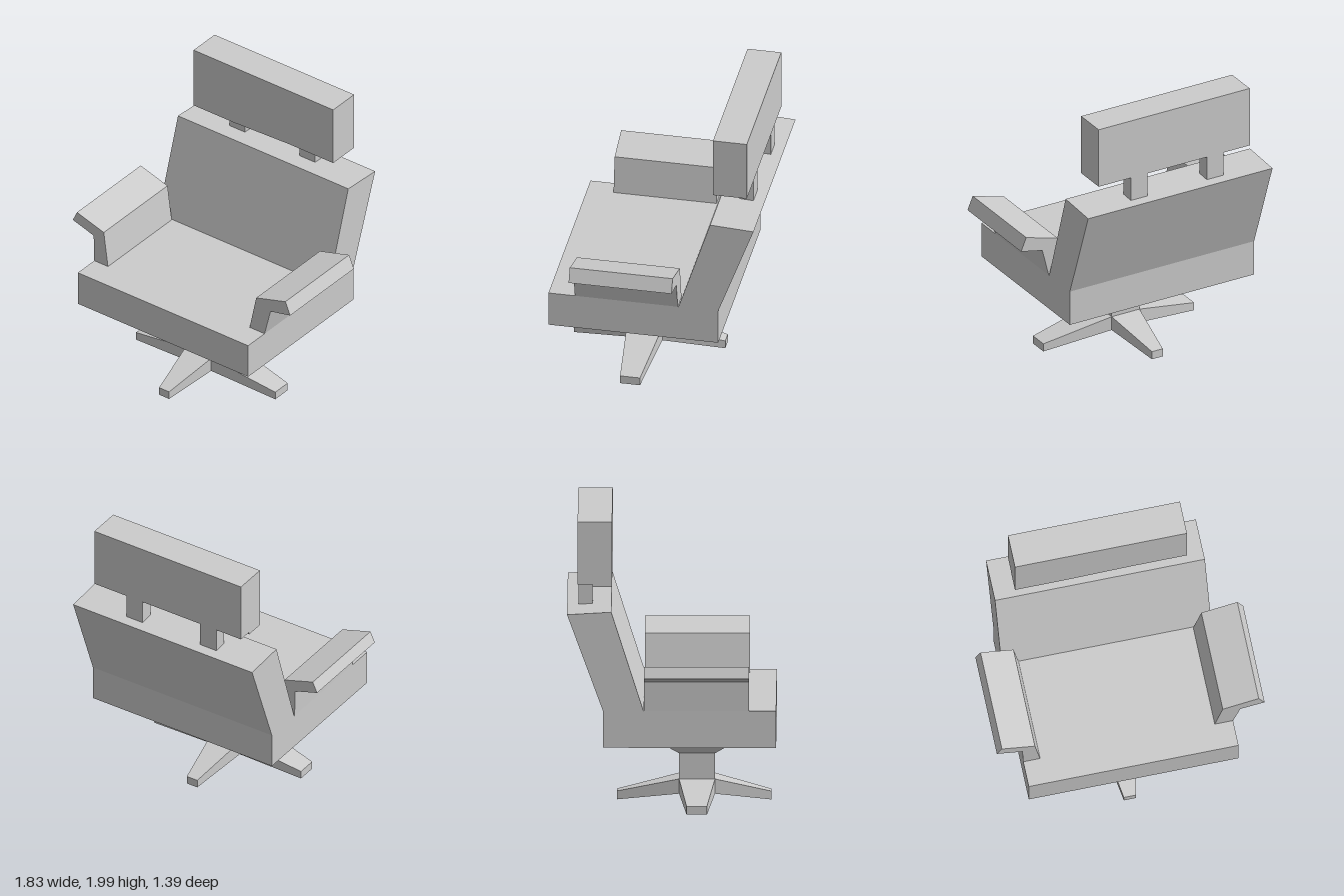
import * as THREE from 'three';

const upholstery = new THREE.MeshStandardMaterial({ color: 0xcccccc });
upholstery.name = 'lightGrey';

export function createModel() {
  const group = new THREE.Group();
  group.name = 'swivelArmchair';

  const add = (name, geometry) => {
    const mesh = new THREE.Mesh(geometry, upholstery);
    mesh.name = name;
    group.add(mesh);
    return mesh;
  };
  const block = (name, x0, x1, y0, y1, z0, z1) =>
    add(name, new THREE.BoxGeometry(x1 - x0, y1 - y0, z1 - z0)
      .translate((x0 + x1) / 2, (y0 + y1) / 2, (z0 + z1) / 2));
  const extrude = (points, depth) => new THREE.ExtrudeGeometry(
    new THREE.Shape(points.map(([a, b]) => new THREE.Vector2(a, b))),
    { depth, bevelEnabled: false });
  // A unit box whose corners are moved by a rule, kept flat-faced
  const shapedBox = (rule) => {
    const geometry = new THREE.BoxGeometry(1, 1, 1);
    const p = geometry.attributes.position;
    for (let i = 0; i < p.count; i++) {
      p.setXYZ(i, ...rule(p.getX(i) + 0.5, p.getY(i) + 0.5, p.getZ(i) + 0.5));
    }
    geometry.computeVertexNormals();
    return geometry;
  };
  const lerp = THREE.MathUtils.lerp;

  // Seat and leaning backrest
  block('seat', -0.735, 0.695, 0.49, 0.74, -0.455, 0.7);
  add('backrest', extrude([[-0.185, 0.74], [-0.4, 1.412], [-0.695, 1.395], [-0.455, 0.74]], 1.43)
    .rotateY(-Math.PI / 2).translate(0.695, 0, 0));

  // Headrest with a slightly sloping underside, on two posts
  add('headrest', extrude([[-0.6, 1.555], [-0.27, 1.555], [0.2, 1.572], [0.572, 1.572],
    [0.572, 2], [-0.6, 2]], 0.13).translate(0, 0, -0.525));
  block('headrestBack', -0.6, 0.572, 1.572, 2, -0.625, -0.525);
  for (const x of [-0.4, 0.19]) block('headrestPost', x, x + 0.13, 1.39, 1.572, -0.62, -0.525);

  // Armrests: uprights bending outward into tilted pads
  const arms = {
    rightArmrest: [[-0.735, 0.74], [-0.62, 0.74], [-0.655, 1.0], [-0.88, 1.07], [-0.915, 0.995], [-0.74, 0.94]],
    leftArmrest: [[0.57, 0.74], [0.695, 0.74], [0.745, 0.94], [0.91, 0.975], [0.87, 1.07], [0.625, 1.0]],
  };
  for (const [name, points] of Object.entries(arms)) {
    add(name, extrude(points, 0.7).translate(0, 0, -0.18));
  }

  // Flared mount under the seat and the column
  add('seatMount', shapedBox((x, y, z) => [
    lerp(lerp(-0.145, 0.07, x), lerp(-0.27, 0.19, x), y),
    lerp(0.335, 0.49, y),
    lerp(lerp(0.05, 0.29, z), lerp(-0.185, 0.52, z), y)]));
  block('column', -0.145, 0.07, 0.06, 0.335, 0.05, 0.29);

  // Four tapered feet: [turns, reach from the axis, hub half depth, hub half width, tip half width]
  const feet = [
    [0, 0.495, 0.12, 0.108, 0.042],
    [1, 0.607, 0.108, 0.12, 0.068],
    [2, 0.535, 0.12, 0.108, 0.042],
    [3, 0.563, 0.108, 0.12, 0.068],
  ];
  for (const [turns, reach, start, hubWidth, tipWidth] of feet) {
    add('foot', shapedBox((x, y, z) => [
      (x * 2 - 1) * lerp(hubWidth, tipWidth, z),
      lerp(lerp(0.06, 0.16, y), lerp(0.008, 0.065, y), z),
      lerp(start, reach, z)]).rotateY(turns * Math.PI / 2).translate(-0.0375, 0, 0.17));
  }

  // Settle exactly on the ground
  for (const mesh of group.children) mesh.position.y = 0;
  const floor = new THREE.Box3().setFromObject(group).min.y;
  for (const mesh of group.children) mesh.position.y = -floor;
  return group;
}
